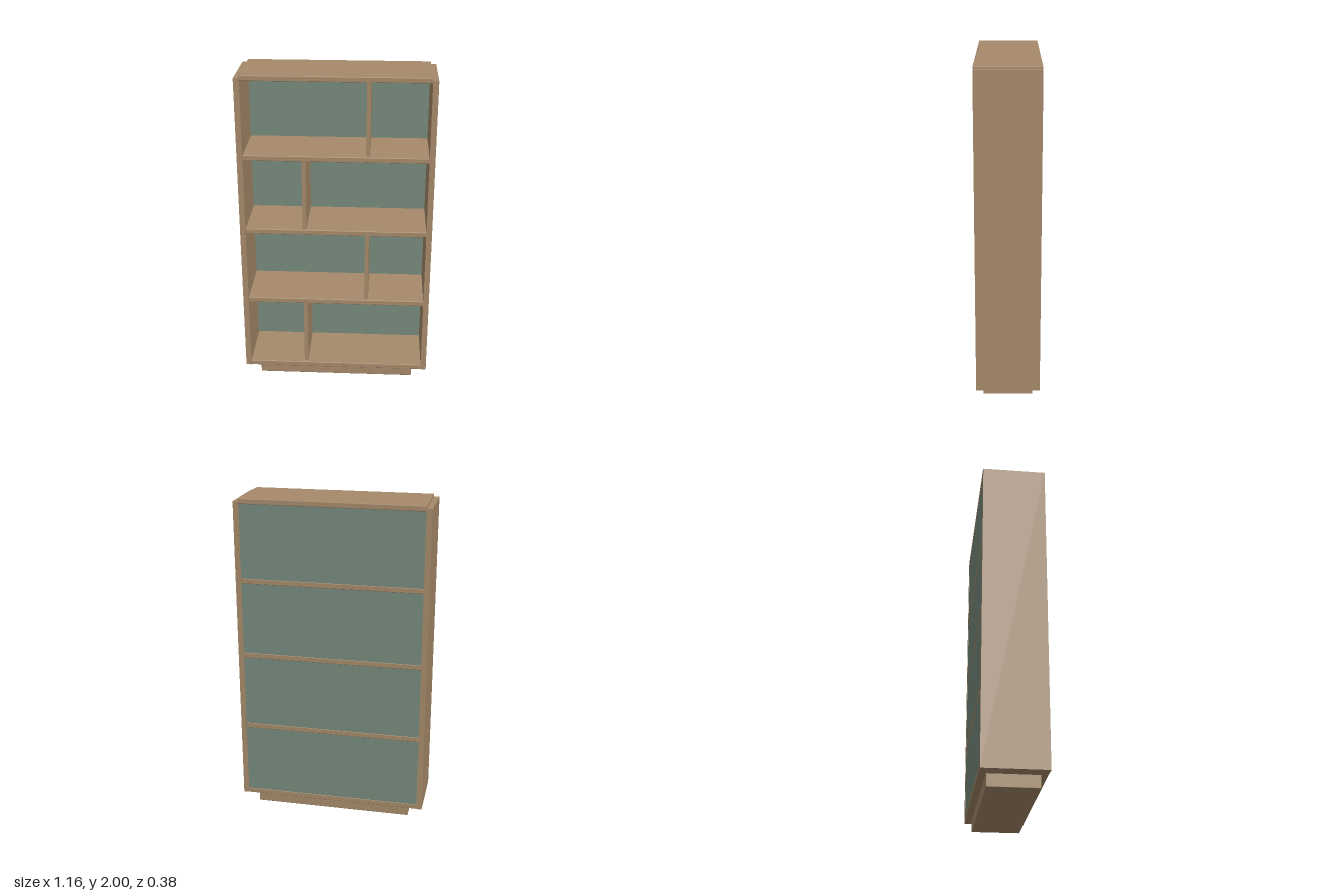
import * as THREE from 'three';
import { RoundedBoxGeometry } from 'three/addons/geometries/RoundedBoxGeometry.js';

export function createModel() {
  const model = new THREE.Group();
  model.name = 'bookcase';
  const wood = new THREE.MeshStandardMaterial({ color: 0xa68a6a });
  const green = new THREE.MeshStandardMaterial({ color: 0x778a7d });

  // Board given by its min and max on each axis, with a slightly eased edge
  function board(name, [x0, x1], [y0, y1], [z0, z1], material = wood, radius = 0) {
    const size = [x1 - x0, y1 - y0, z1 - z0];
    const geometry = radius
      ? new RoundedBoxGeometry(...size, 2, radius)
      : new THREE.BoxGeometry(...size);
    const mesh = new THREE.Mesh(geometry, material);
    mesh.name = name;
    mesh.position.set((x0 + x1) / 2, (y0 + y1) / 2, (z0 + z1) / 2);
    model.add(mesh);
  }

  const depth = [-0.19, 0.19];
  const half = 0.016; // half shelf thickness

  // Plinth
  board('plinth', [-0.49, 0.49], [0, 0.078], [-0.15, 0.15], wood, 0.004);

  // Side panels
  board('leftSide', [0.548, 0.582], [0.075, 1.983], depth);
  board('rightSide', [-0.582, -0.548], [0.075, 1.983], depth);

  // Shelves, from bottom to top
  const levels = [0.091, 0.557, 1.031, 1.504, 1.984];
  for (const y of levels) {
    board('shelf', [-0.549, 0.549], [y - half, y + half], depth, wood, 0.004);
  }

  // Upright dividers, alternating sides between the shelves
  for (let i = 0; i < levels.length - 1; i++) {
    const x = i % 2 ? 0.19 : -0.19;
    board('divider', [x - 0.012, x + 0.012],
      [levels[i] + half - 0.001, levels[i + 1] - half + 0.001], [-0.182, 0.17]);
  }

  // Back panel
  board('backPanel', [-0.549, 0.549], [0.09, 1.985], [-0.188, -0.177], green);

  return model;
}
